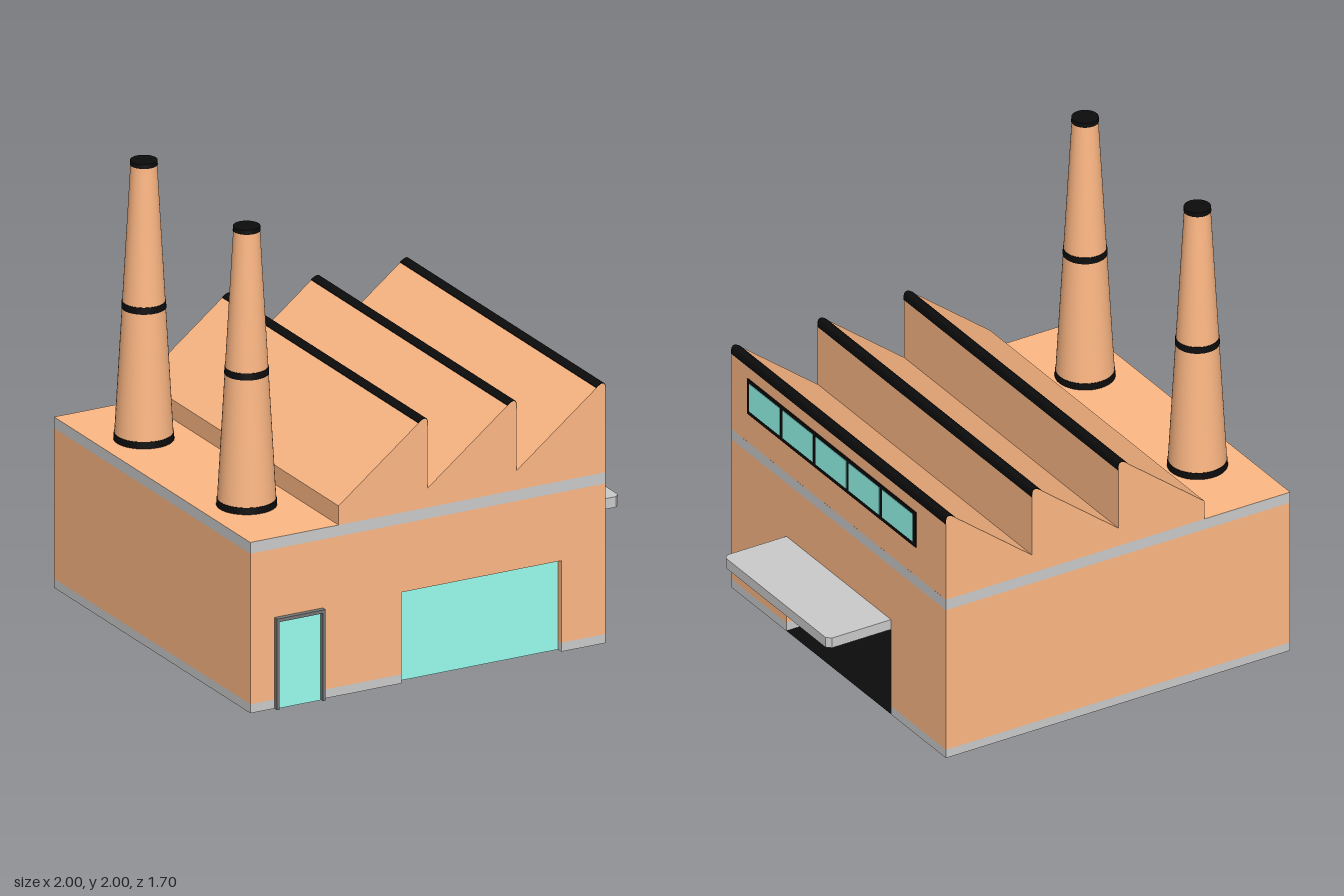
import * as THREE from 'three';

const mat = (color, side = THREE.DoubleSide) => new THREE.MeshStandardMaterial({ color, side });
const BRICK = mat(0xffb985), GREY = mat(0xcccccc), BLACK = mat(0x0c0c0c);
const TEAL = mat(0x99fff0), FRAME = mat(0x777777);
const ROOF = mat(0xffb985, THREE.FrontSide);

// Main extents
const X0 = -1, X1 = 0.69, Z0 = -0.85, Z1 = 0.83, OPEN = 0.405, TOP = 0.76;

export function createModel() {
  const model = new THREE.Group();

  const add = (name, geometry, material, x = 0, y = 0, z = 0, parent = model) => {
    const mesh = new THREE.Mesh(geometry, material);
    mesh.name = name;
    mesh.position.set(x, y, z);
    parent.add(mesh);
    return mesh;
  };

  // Box given by its lower and upper limits on each axis
  const box = (name, material, xa, xb, ya, yb, za, zb, parent) =>
    add(name, new THREE.BoxGeometry(xb - xa, yb - ya, zb - za), material,
      (xa + xb) / 2, (ya + yb) / 2, (za + zb) / 2, parent);

  // Vertical wall ribbon that follows a plan path of [x, z] points
  const wall = (name, material, path, ya, yb) => {
    const pos = [];
    for (let i = 0; i < path.length - 1; i++) {
      const [ax, az] = path[i], [bx, bz] = path[i + 1];
      pos.push(ax, ya, az, bx, ya, bz, bx, yb, bz, ax, ya, az, bx, yb, bz, ax, yb, az);
    }
    const g = new THREE.BufferGeometry();
    g.setAttribute('position', new THREE.Float32BufferAttribute(pos, 3));
    g.computeVertexNormals();
    add(name, g, material);
  };

  // Horizontal sheet, facing up or down
  const sheet = (name, material, xa, xb, za, zb, y, up = true) => {
    const g = new THREE.PlaneGeometry(xb - xa, zb - za).rotateX(up ? -Math.PI / 2 : Math.PI / 2);
    add(name, g, material, (xa + xb) / 2, y, (za + zb) / 2);
  };

  // Walls: the lower path steps in at the front gate and around the loading bay
  const gate = [[-0.28, 0.8], [0.48, 0.8]];
  const bay = { back: -0.15, za: -0.42, zb: 0.4 };
  const lower = [
    gate[1], [0.48, Z1], [X1, Z1], [X1, bay.zb], [bay.back, bay.zb], [bay.back, bay.za],
    [X1, bay.za], [X1, Z0], [X0, Z0], [X0, Z1], [-0.28, Z1], gate[0],
  ];
  const upper = [[X0, Z1], [X1, Z1], [X1, Z0], [X0, Z0], [X0, Z1]];
  wall('plinth', GREY, lower, 0, 0.04);
  wall('lowerWalls', BRICK, lower, 0.04, OPEN);
  wall('upperWalls', BRICK, upper, OPEN, 0.71);
  wall('corniceBand', GREY, upper, 0.71, TOP);
  wall('frontGate', TEAL, gate, 0, OPEN);
  sheet('gateLintel', BRICK, -0.28, 0.48, 0.8, Z1, OPEN, false);

  // Floors, loading bay ceiling and the flat roof under the chimneys
  sheet('floor', BRICK, X0, -0.28, Z0, Z1, 0, false);
  sheet('bayFloor', BLACK, bay.back, X1, bay.za, bay.zb, 0.001);
  sheet('bayCeiling', BRICK, bay.back, X1, bay.za, bay.zb, OPEN, false);
  sheet('flatRoof', ROOF, X0, -0.58, Z0, Z1, TOP);

  // Sawtooth roof with black ridge caps
  const w = 0.4233;
  const tooth = new THREE.Shape();
  tooth.moveTo(0, TOP);
  tooth.lineTo(w, TOP);
  tooth.lineTo(w, 1.13);
  tooth.quadraticCurveTo(w, 1.176, w - 0.04, 1.145);
  tooth.lineTo(0, 0.845);
  tooth.closePath();
  const cap = new THREE.Shape();
  cap.moveTo(w, 1.122);
  cap.lineTo(w + 0.002, 1.122);
  cap.lineTo(w + 0.002, 1.133);
  cap.quadraticCurveTo(w + 0.002, 1.18, w - 0.043, 1.146);
  cap.lineTo(w - 0.043, 1.142);
  cap.lineTo(w - 0.04, 1.145);
  cap.quadraticCurveTo(w, 1.176, w, 1.13);
  cap.closePath();
  const extrude = { depth: Z1 - Z0, bevelEnabled: false, curveSegments: 10 };
  const toothGeo = new THREE.ExtrudeGeometry(tooth, extrude);
  const capGeo = new THREE.ExtrudeGeometry(cap, extrude);
  for (let i = 0; i < 3; i++) {
    add('sawtoothRoof', toothGeo, BRICK, -0.58 + i * w, 0, Z0);
    add('ridgeCap', capGeo, BLACK, -0.58 + i * w, 0, Z0);
  }

  // Window strip high on the side wall
  const windows = new THREE.Group();
  windows.name = 'windowStrip';
  model.add(windows);
  box('windowFrame', BLACK, X1, 0.696, 0.9, 1.067, -0.62, 0.7, windows);
  for (let i = 0; i < 5; i++) {
    const z = 0.56 - i * 0.26;
    box('windowPane', TEAL, X1, 0.698, 0.92, 1.052, z - 0.119, z + 0.119, windows);
  }

  // Loading bay canopy, with clipped outer corners
  const plan = new THREE.Shape([[X1, -0.4], [0.98, -0.4], [1, -0.38], [1, 0.4], [0.98, 0.42], [X1, 0.42]]
    .map(([x, y]) => new THREE.Vector2(x, y)));
  const canopyGeo = new THREE.ExtrudeGeometry(plan, { depth: 0.047, bevelEnabled: false })
    .rotateX(-Math.PI / 2);
  add('canopy', canopyGeo, GREY, 0, 0.408, 0);

  // Small front door with its frame
  const door = new THREE.Group();
  door.name = 'frontDoor';
  model.add(door);
  box('doorPanel', TEAL, -0.87, -0.67, 0, 0.392, Z1, 0.838, door);
  for (const x of [-0.885, -0.667]) box('doorJamb', FRAME, x, x + 0.012, 0, 0.405, Z1, 0.853, door);
  box('doorHead', FRAME, -0.873, -0.667, 0.39, 0.405, Z1, 0.853, door);

  // Tapered chimneys with black rings
  const radius = (y) => 0.125 - 0.07 * (y - TOP) / (2 - TOP);
  const frustum = (ya, yb, extra) =>
    new THREE.CylinderGeometry(radius(yb) + extra, radius(ya) + extra, yb - ya, 40);
  for (const z of [0.43, -0.45]) {
    const chimney = new THREE.Group();
    chimney.name = 'chimney';
    chimney.position.set(-0.795, 0, z);
    model.add(chimney);
    add('stack', frustum(TOP, 1.99, 0), BRICK, 0, (TOP + 1.99) / 2, 0, chimney);
    for (const [ya, yb] of [[0.758, 0.79], [1.345, 1.375], [1.98, 2]]) {
      add('chimneyRing', frustum(ya, yb, 0.002), BLACK, 0, (ya + yb) / 2, 0, chimney);
    }
  }

  return model;
}
